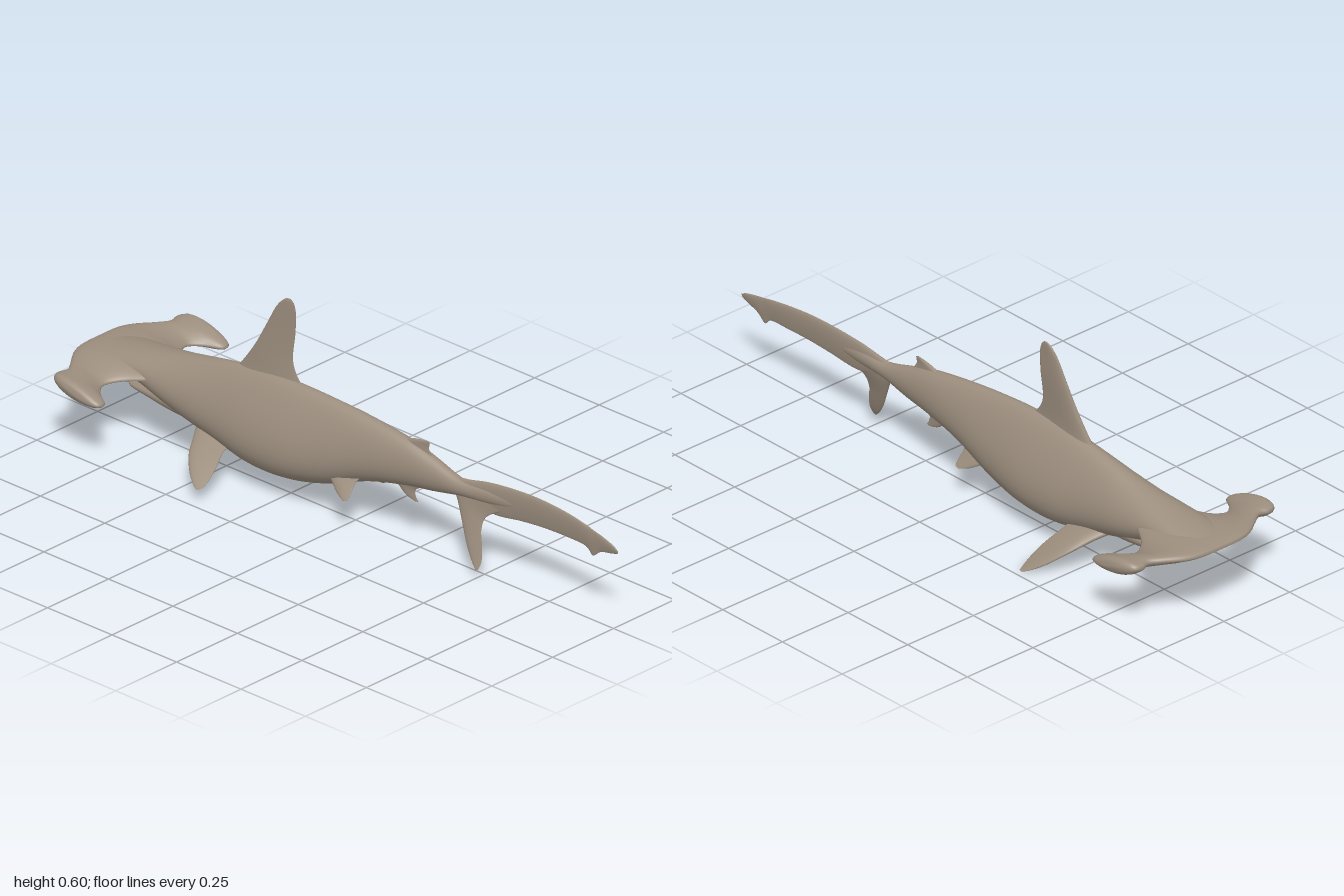
import * as THREE from 'three';

// Smoothly resample rows of numbers (uniform Catmull-Rom per column)
function resample(rows, steps) {
  const out = [], last = rows.length - 1;
  const at = (i) => rows[Math.min(last, Math.max(0, i))];
  for (let i = 0; i < last; i++) {
    for (let s = 0; s < steps; s++) {
      const t = s / steps;
      out.push(rows[i].map((_, c) => {
        const [a, b, d, e] = [at(i - 1)[c], at(i)[c], at(i + 1)[c], at(i + 2)[c]];
        return b + 0.5 * t * (d - a + t * (2 * a - 5 * b + 4 * d - e + t * (3 * (b - d) + e - a)));
      }));
    }
  }
  out.push(rows[last]);
  return out;
}

// Closed skin over a list of rings, capped at both ends, facing outwards
function loft(rings) {
  const n = rings[0].length, m = rings.length, pts = rings.flat(), idx = [];
  for (let r = 0; r < m - 1; r++) {
    for (let i = 0; i < n; i++) {
      const a = r * n + i, b = r * n + (i + 1) % n;
      idx.push(a, b, a + n, b, b + n, a + n);
    }
  }
  [0, m - 1].forEach((r) => {
    const c = rings[r].reduce((s, p) => s.add(p), new THREE.Vector3()).divideScalar(n);
    const k = pts.push(c) - 1;
    for (let i = 0; i < n; i++) {
      const a = r * n + i, b = r * n + (i + 1) % n;
      if (r === 0) idx.push(k, b, a); else idx.push(k, a, b);
    }
  });
  let volume = 0;
  for (let i = 0; i < idx.length; i += 3) {
    const [a, b, c] = [pts[idx[i]], pts[idx[i + 1]], pts[idx[i + 2]]];
    volume += a.dot(b.clone().cross(c));
  }
  if (volume < 0) idx.reverse();
  const g = new THREE.BufferGeometry().setFromPoints(pts);
  g.setIndex(idx);
  g.computeVertexNormals();
  return g;
}

// Egg-section trunk; rows: x, top y, bottom y, half width, egg factor, centre z
function trunk(rows) {
  return loft(resample(rows, 6).map(([x, top, bottom, w, k, zc]) =>
    Array.from({ length: 36 }, (_, i) => {
      const a = (i / 36) * Math.PI * 2, s = Math.sin(a);
      return new THREE.Vector3(x, (top + bottom) / 2 + s * (top - bottom) / 2,
        zc + Math.cos(a) * w * (1 - k * s));
    })));
}

// Blade; rows: leading x,y,z, trailing x,y,z, half thickness
function blade(rows, normal, power = 1, steps = 5) {
  const nrm = new THREE.Vector3(...normal).normalize(), N = 20;
  return loft(resample(rows, steps).map(([ax, ay, az, bx, by, bz, th]) =>
    Array.from({ length: N }, (_, i) => {
      const a = (i / N) * Math.PI * 2, t = (1 - Math.cos(a)) / 2;
      // thick towards the leading edge, thin at the trailing edge
      const off = th * Math.sin(a) * Math.pow(1.15 - t * 0.9, power);
      return new THREE.Vector3(ax + (bx - ax) * t, ay + (by - ay) * t, az + (bz - az) * t)
        .addScaledVector(nrm, off);
    })));
}

export function createModel() {
  const group = new THREE.Group();
  const skin = new THREE.MeshStandardMaterial({ color: 0x9c8e7e });
  skin.name = 'taupe skin';
  const add = (name, geometry) => {
    const mesh = new THREE.Mesh(geometry, skin);
    mesh.name = name;
    group.add(mesh);
  };

  // Trunk from snout to tail stem
  add('body', trunk([
    [-0.96, 0.25, 0.228, 0.05, 0, 0],
    [-0.88, 0.264, 0.202, 0.08, 0, 0],
    [-0.78, 0.28, 0.178, 0.085, 0.05, 0],
    [-0.66, 0.302, 0.135, 0.086, 0.2, 0],
    [-0.5, 0.335, 0.092, 0.085, 0.35, 0],
    [-0.36, 0.355, 0.064, 0.092, 0.44, 0],
    [-0.22, 0.359, 0.064, 0.09, 0.44, 0],
    [-0.08, 0.354, 0.093, 0.074, 0.38, -0.003],
    [0.06, 0.341, 0.145, 0.057, 0.25, -0.008],
    [0.2, 0.32, 0.177, 0.042, 0.1, -0.012],
    [0.3, 0.292, 0.192, 0.031, 0, -0.013],
    [0.4, 0.264, 0.212, 0.021, 0, -0.012],
    [0.5, 0.265, 0.22, 0.013, 0, -0.016],
    [0.62, 0.26, 0.235, 0.005, 0, -0.022],
  ]));

  // Lower jaw
  add('lowerJaw', trunk([
    [-0.86, 0.166, 0.15, 0.02, 0, 0],
    [-0.83, 0.174, 0.145, 0.045, 0, 0],
    [-0.75, 0.19, 0.137, 0.062, 0, 0],
    [-0.65, 0.2, 0.122, 0.068, 0, 0],
    [-0.52, 0.2, 0.105, 0.05, 0, 0],
  ]));

  // Wide hammer head; half rows: z, leading x, y, trailing x, y, half thickness
  const half = [
    [0, -1, 0.24, -0.68, 0.23, 0.02],
    [0.07, -0.997, 0.24, -0.71, 0.225, 0.02],
    [0.12, -0.98, 0.238, -0.785, 0.215, 0.02],
    [0.17, -0.945, 0.236, -0.815, 0.209, 0.02],
    [0.21, -0.92, 0.235, -0.79, 0.205, 0.022],
    [0.24, -0.927, 0.234, -0.745, 0.2, 0.026],
    [0.265, -0.92, 0.234, -0.742, 0.2, 0.028],
    [0.279, -0.895, 0.23, -0.765, 0.204, 0.02],
    [0.285, -0.86, 0.225, -0.81, 0.21, 0.004],
  ];
  const span = [...half.slice(1).reverse().map(([z, ...r]) => [-z, ...r]), ...half];
  add('hammerHead', blade(span.map(([z, lx, ly, tx, ty, th]) =>
    [lx, ly, z, tx, ty, z, th]), [0, 1, 0], 0.3));

  // Tall dorsal fin
  add('dorsalFin', blade([
    [-0.47, 0.32, 0, -0.17, 0.335, 0, 0.02],
    [-0.435, 0.36, 0, -0.215, 0.36, -0.002, 0.015],
    [-0.39, 0.425, -0.002, -0.248, 0.415, -0.006, 0.012],
    [-0.35, 0.5, -0.006, -0.243, 0.5, -0.01, 0.009],
    [-0.315, 0.565, -0.008, -0.24, 0.56, -0.01, 0.006],
    [-0.285, 0.598, -0.009, -0.247, 0.592, -0.01, 0.004],
    [-0.268, 0.605, -0.01, -0.258, 0.604, -0.01, 0.001],
  ], [0, 0, 1]));

  // Small second dorsal fin
  add('secondDorsalFin', blade([
    [0.15, 0.31, -0.012, 0.3, 0.28, -0.012, 0.012],
    [0.2, 0.325, -0.012, 0.275, 0.312, -0.012, 0.008],
    [0.235, 0.333, -0.012, 0.275, 0.326, -0.012, 0.005],
    [0.265, 0.338, -0.012, 0.277, 0.334, -0.012, 0.001],
  ], [0, 0, 1]));

  // Anal fin
  add('analFin', blade([
    [0.12, 0.19, -0.012, 0.29, 0.205, -0.012, 0.012],
    [0.155, 0.165, -0.012, 0.225, 0.172, -0.012, 0.008],
    [0.185, 0.142, -0.012, 0.222, 0.15, -0.012, 0.005],
    [0.22, 0.132, -0.012, 0.232, 0.134, -0.012, 0.001],
  ], [0, 0, 1]));

  // Paired fins; the right pectoral hangs lower than the left
  [['left', 1, 0.045], ['right', -1, 0.003]].forEach(([side, s, tipY]) => {
    const drop = (t) => 0.112 + (tipY - 0.112) * t;
    add(side + 'PectoralFin', blade([
      [-0.57, 0.125, s * 0.05, -0.42, 0.115, s * 0.05, 0.02],
      [-0.545, drop(0.05), s * 0.09, -0.425, drop(0.1), s * 0.09, 0.016],
      [-0.51, drop(0.35), s * 0.145, -0.405, drop(0.42), s * 0.14, 0.012],
      [-0.465, drop(0.7), s * 0.19, -0.392, drop(0.75), s * 0.185, 0.008],
      [-0.425, drop(0.93), s * 0.218, -0.39, drop(0.95), s * 0.213, 0.004],
      [-0.403, drop(1), s * 0.23, -0.394, drop(1), s * 0.228, 0.001],
    ], [0, 0.9, s * 0.42]));
    add(side + 'PelvicFin', blade([
      [-0.08, 0.15, s * 0.03, 0.05, 0.165, s * 0.03, 0.014],
      [-0.05, 0.135, s * 0.05, 0.04, 0.145, s * 0.045, 0.01],
      [-0.01, 0.112, s * 0.068, 0.042, 0.122, s * 0.062, 0.006],
      [0.025, 0.1, s * 0.08, 0.04, 0.104, s * 0.078, 0.001],
    ], [0, 0.75, s * 0.66]));
  });

  // Long upper tail lobe with a notch near the tip; rows: x top, y, x bottom, y, z, thickness
  add('upperTailLobe', blade([
    [0.36, 0.262, 0.38, 0.222, -0.012, 0.012],
    [0.43, 0.272, 0.46, 0.2, -0.013, 0.011],
    [0.5, 0.286, 0.53, 0.192, -0.017, 0.01],
    [0.6, 0.295, 0.62, 0.203, -0.022, 0.009],
    [0.7, 0.296, 0.71, 0.21, -0.025, 0.008],
    [0.8, 0.287, 0.8, 0.211, -0.027, 0.007],
    [0.87, 0.275, 0.868, 0.208, -0.026, 0.006],
    [0.9, 0.268, 0.896, 0.188, -0.025, 0.005],
    [0.93, 0.262, 0.928, 0.21, -0.024, 0.005],
    [0.975, 0.25, 0.975, 0.222, -0.021, 0.004],
    [1, 0.238, 0.998, 0.23, -0.019, 0.001],
  ].map(([ax, ay, bx, by, z, th]) => [ax, ay, z, bx, by, z, th]), [0, 0, 1], 0.6));

  // Lower tail lobe
  add('lowerTailLobe', blade([
    [0.35, 0.245, -0.012, 0.58, 0.225, -0.018, 0.012],
    [0.385, 0.205, -0.008, 0.505, 0.185, -0.008, 0.011],
    [0.415, 0.15, 0.004, 0.492, 0.145, 0.004, 0.008],
    [0.445, 0.095, 0.018, 0.505, 0.1, 0.016, 0.006],
    [0.475, 0.055, 0.03, 0.515, 0.06, 0.028, 0.004],
    [0.502, 0.031, 0.04, 0.512, 0.034, 0.039, 0.001],
  ], [0, 0.3, 1]));

  return group;
}
